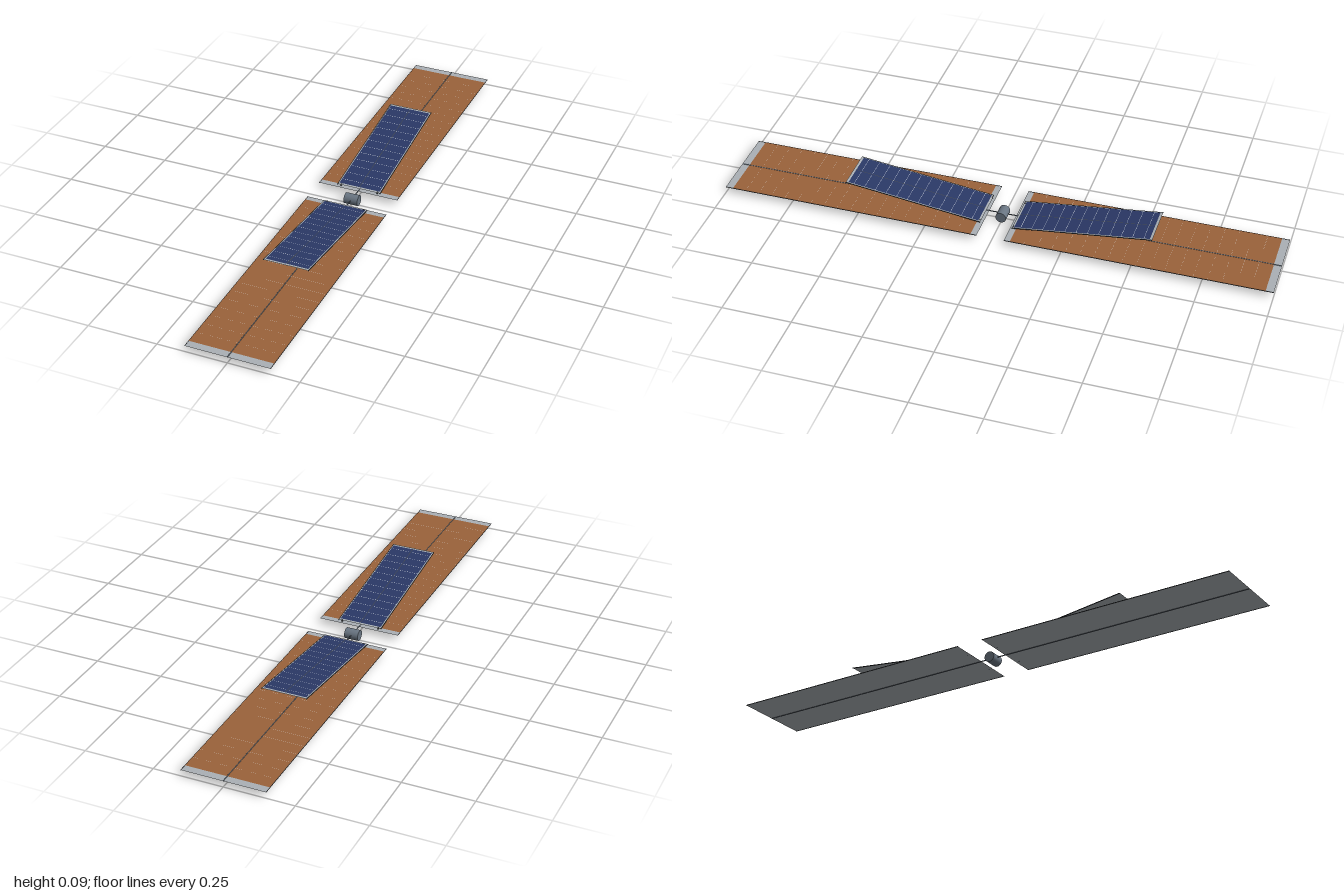
import * as THREE from 'three';
import { mergeGeometries } from 'three/addons/utils/BufferGeometryUtils.js';

const mat = (name, color) => {
  const m = new THREE.MeshStandardMaterial({ color });
  m.name = name;
  return m;
};

export function createModel() {
  const copper = mat('copper film', 0x9a623a);
  const navy = mat('solar cell blue', 0x2a3866);
  const silver = mat('silver', 0xaab0b5);
  silver.side = THREE.DoubleSide;
  const pale = mat('pale grid line', 0xe4e8ec);
  const steel = mat('blue grey metal', 0x6a7683);
  const dark = mat('dark rail', 0x42474c);

  const add = (parent, name, geometry, material, x = 0, y = 0, z = 0) => {
    const mesh = new THREE.Mesh(geometry, material);
    mesh.name = name;
    mesh.position.set(x, y, z);
    parent.add(mesh);
    return mesh;
  };
  const box = (w, h, d) => new THREE.BoxGeometry(w, h, d);
  const rod = (r, length) => new THREE.CylinderGeometry(r, r, length, 10).rotateX(Math.PI / 2);

  // Flat rectangle facing up, from z0 to z1
  const strip = (width, z0, z1) => new THREE.PlaneGeometry(width, z1 - z0)
    .rotateX(-Math.PI / 2).translate(0, 0, (z0 + z1) / 2);

  // Evenly spaced hairlines running across a sheet
  const hairlines = (width, z0, z1, rows, thickness) => {
    const lines = [];
    for (let i = 1; i < rows; i++) {
      const z = z0 + (z1 - z0) * i / rows;
      lines.push(strip(width, z - thickness / 2, z + thickness / 2));
    }
    return mergeGeometries(lines);
  };

  const model = new THREE.Group();
  model.name = 'satellite';
  const sheetY = 0.0225;

  // Drum body lying across the model
  const drumR = 0.0195;
  const drum = add(model, 'drumBody', new THREE.CylinderGeometry(drumR, drumR, 0.052, 32), steel, 0, drumR, 0);
  drum.rotation.z = Math.PI / 2;

  for (const side of [0, 1]) {
    const wing = new THREE.Group();
    wing.name = side ? 'backWing' : 'frontWing';
    wing.rotation.y = side * Math.PI;
    model.add(wing);

    // Large flat membrane with silver end bars and silver underside
    const membrane = new THREE.Group();
    membrane.name = 'membrane';
    membrane.position.y = sheetY;
    wing.add(membrane);
    add(membrane, 'membraneSheet', strip(0.3, 0.05, 1), silver);
    add(membrane, 'copperFilm', strip(0.3, 0.072, 0.972), copper, 0, 0.0008, 0);
    add(membrane, 'filmSeams', hairlines(0.3, 0.072, 0.972, 18, 0.0003), pale, 0, 0.0012, 0);
    for (const s of [-1, 1]) {
      add(membrane, 'edgeWire', box(0.001, 0.0022, 0.95), dark, s * 0.15, 0, 0.525);
    }

    // Central boom from the drum to the wing tip
    add(wing, 'boom', rod(0.0019, 0.98), steel, 0, sheetY, 0.508);

    // Tilted solar panel
    const panel = new THREE.Group();
    panel.name = 'solarPanel';
    panel.position.set(0, 0.0295, 0.058);
    panel.rotation.x = -Math.atan2(0.063, 0.5);
    wing.add(panel);
    add(panel, 'panelSheet', strip(0.162, 0, 0.506), silver);
    add(panel, 'solarCells', strip(0.155, 0.008, 0.497), navy, 0, 0.0008, 0);
    add(panel, 'cellLines', hairlines(0.155, -0.0085, 0.5165, 13, 0.001), pale, 0, 0.0012, 0);
    add(panel, 'centreSeam', strip(0.002, 0.008, 0.497), dark, 0, 0.0015, 0);
    for (const s of [-1, 1]) {
      add(panel, 'sideRail', box(0.002, 0.0026, 0.506), dark, s * 0.0815, -0.0008, 0.253);
      // Short hinge posts under the panel root
      add(wing, 'hingePost', box(0.004, 0.009, 0.004), dark, s * 0.07, 0.0265, 0.062);
    }
  }
  return model;
}
